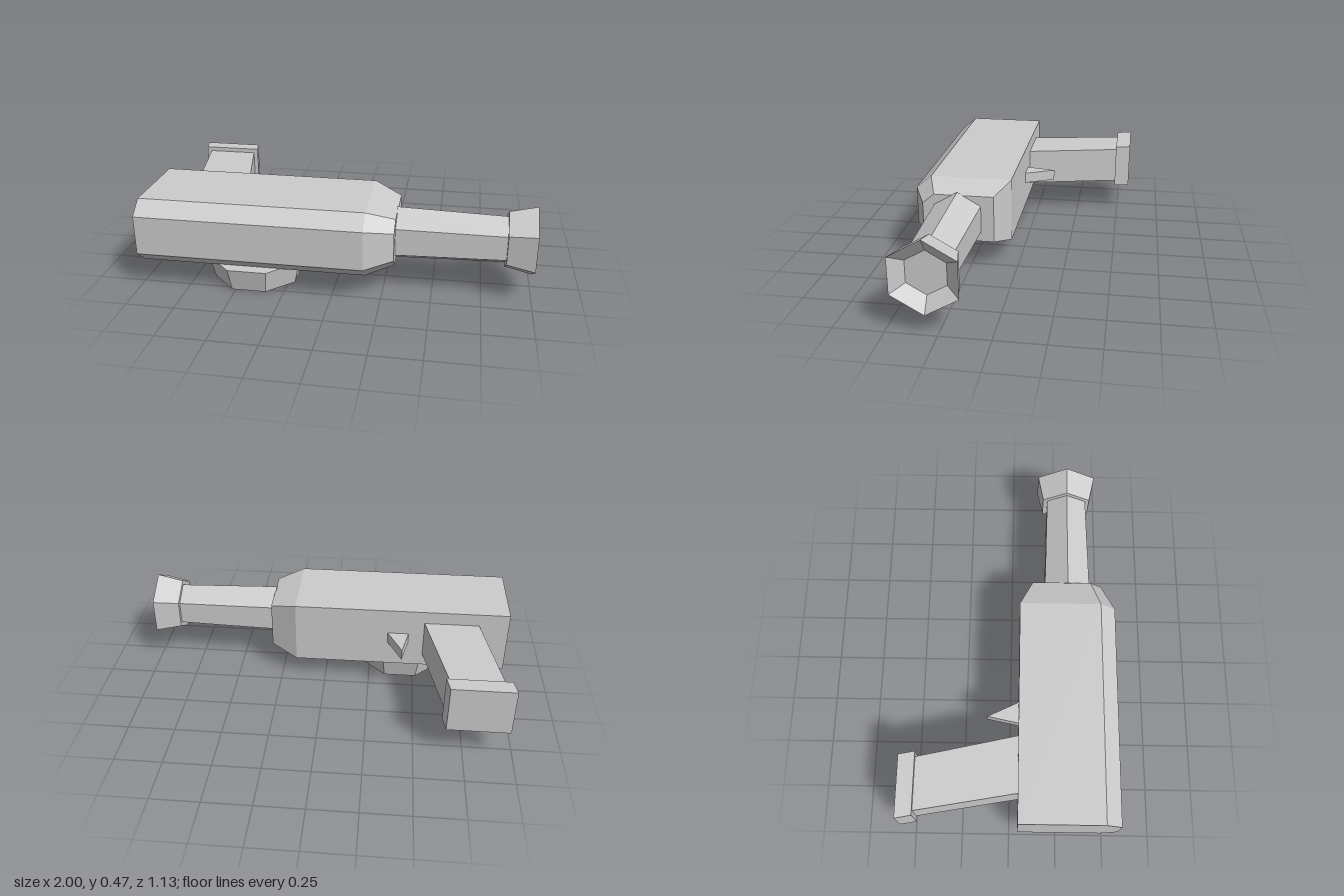
import * as THREE from 'three';

const CY = 0.288, CZ = 0.306; // barrel axis

// Skin a list of rings (arrays of [x, y, z], counter-clockwise seen from the last ring) and cap both ends
function loft(rings) {
  const pos = [];
  const tri = (a, b, c) => pos.push(...a, ...b, ...c);
  const n = rings[0].length;
  for (let r = 0; r < rings.length - 1; r++) {
    const A = rings[r], B = rings[r + 1];
    for (let i = 0; i < n; i++) {
      const j = (i + 1) % n;
      tri(A[i], A[j], B[j]);
      tri(A[i], B[j], B[i]);
    }
  }
  const first = rings[0], last = rings[rings.length - 1];
  for (let i = 1; i < n - 1; i++) {
    tri(first[0], first[i + 1], first[i]);
    tri(last[0], last[i], last[i + 1]);
  }
  const g = new THREE.BufferGeometry();
  g.setAttribute('position', new THREE.Float32BufferAttribute(pos, 3));
  g.computeVertexNormals();
  return g;
}

// Body section: square at the back, chamfered along the front edges
const bodyRing = (x, z0, zc, z1, y0, yc0, yc1, y1) =>
  [[z1, yc1], [z1, yc0], [zc, y0], [z0, y0], [z0, y1], [zc, y1]].map(([z, y]) => [x, y, z]);

// Hexagon with a corner at the top, around the barrel axis
const hexRing = (x, r) => Array.from({ length: 6 }, (_, i) => {
  const a = Math.PI / 6 + i * Math.PI / 3;
  return [x, CY + r * Math.sin(a), CZ - r * Math.cos(a)];
});

// Rectangle facing -z
const rectRing = (z, x0, x1, y0, y1) => [[x1, y1, z], [x1, y0, z], [x0, y0, z], [x0, y1, z]];

export function createModel() {
  const group = new THREE.Group();
  const grey = new THREE.MeshStandardMaterial({ color: 0xcccccc, flatShading: true });
  grey.name = 'plain grey';
  const add = (name, geometry) => {
    const mesh = new THREE.Mesh(geometry, grey);
    mesh.name = name;
    group.add(mesh);
    return mesh;
  };

  // Main housing with a tapered nose
  add('body', loft([
    bodyRing(-1, 0.045, 0.48, 0.563, 0.117, 0.187, 0.393, 0.461),
    bodyRing(0.165, 0.045, 0.48, 0.563, 0.117, 0.187, 0.393, 0.461),
    bodyRing(0.31, 0.115, 0.43, 0.492, 0.162, 0.215, 0.363, 0.414),
  ]));

  // Six-sided barrel and flared muzzle with a shallow funnel
  add('barrel', loft([hexRing(0.305, 0.142), hexRing(0.88, 0.126)]));
  add('muzzle', loft([hexRing(0.86, 0.153), hexRing(1, 0.187), hexRing(0.943, 0.112)]));

  // Slanted grip and its end cap
  add('grip', loft([rectRing(0.06, -0.838, -0.542, 0.187, 0.391), rectRing(-0.49, -0.935, -0.664, 0.187, 0.391)]));
  add('gripCap', loft([rectRing(-0.48, -0.959, -0.638, 0.163, 0.415), rectRing(-0.565, -0.975, -0.655, 0.163, 0.415)]));

  // Trigger wedge
  const wedge = new THREE.Shape([[-0.465, 0.06], [-0.34, 0.06], [-0.427, -0.12]].map(p => new THREE.Vector2(...p)));
  const trigger = add('trigger', new THREE.ExtrudeGeometry(wedge, { depth: 0.06, bevelEnabled: false }));
  trigger.rotation.x = Math.PI / 2;
  trigger.position.y = 0.318;

  // Eight-sided drum under the body
  const drum = add('drum', new THREE.CylinderGeometry(0.263, 0.233, 0.122, 8, 1, false, Math.PI / 8));
  drum.position.set(-0.43, 0.061, CZ);

  return group;
}
